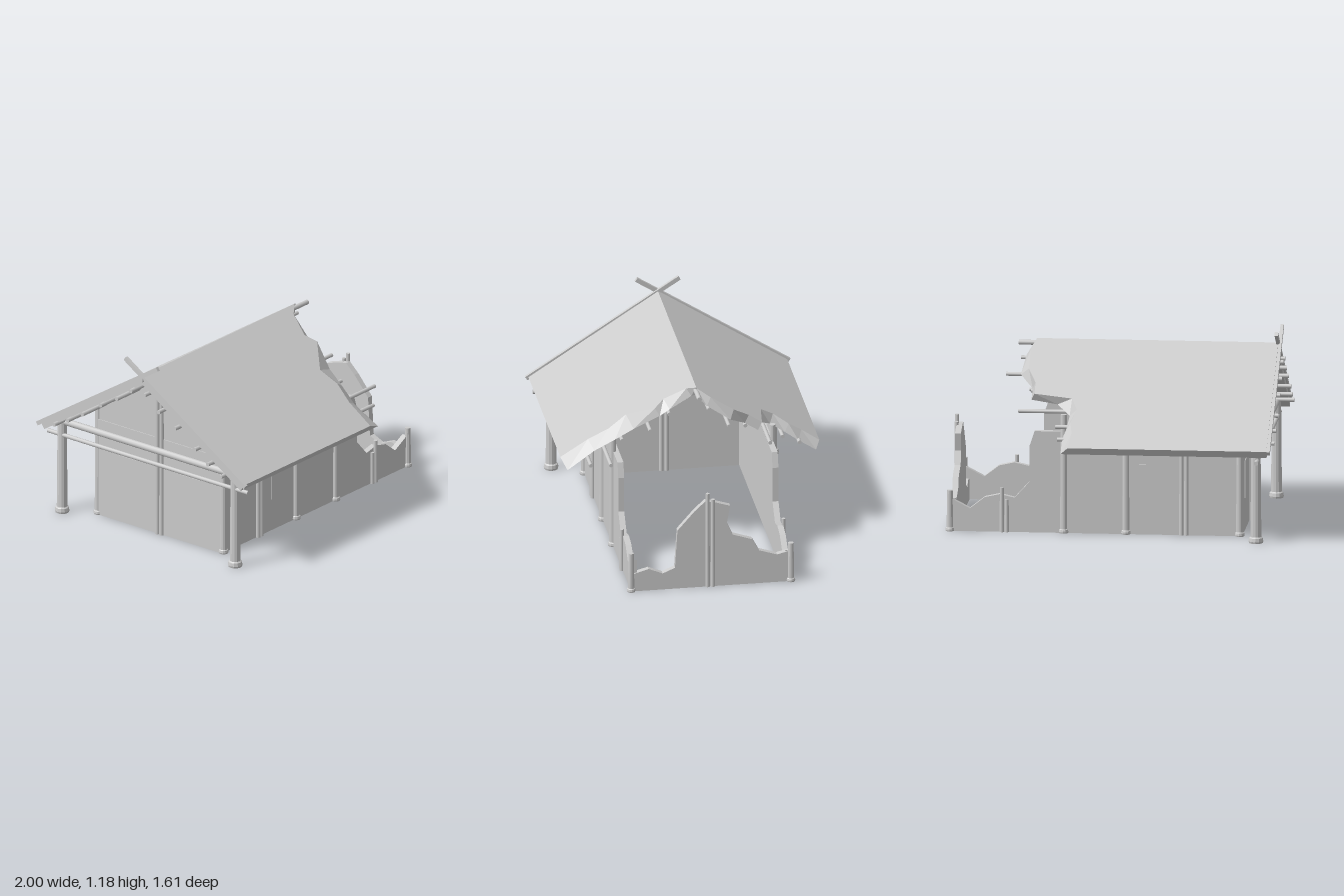
import * as THREE from 'three';

const grey = new THREE.MeshStandardMaterial({ color: 0xcccccc });
grey.name = 'weatheredGrey';

export function createModel() {
  const model = new THREE.Group();
  const add = (name, geometry, parent = model) => {
    const mesh = new THREE.Mesh(geometry, grey);
    mesh.name = name;
    parent.add(mesh);
    return mesh;
  };
  const group = (name) => {
    const g = new THREE.Group();
    g.name = name;
    model.add(g);
    return g;
  };
  const V = (x, y, z) => new THREE.Vector3(x, y, z);

  // Round pole between two points
  const pole = (name, a, b, r0, r1 = r0, parent = model) => {
    const d = b.clone().sub(a);
    const m = add(name, new THREE.CylinderGeometry(r1, r0, d.length(), 10), parent);
    m.position.copy(a).addScaledVector(d, 0.5);
    m.quaternion.setFromUnitVectors(V(0, 1, 0), d.normalize());
    return m;
  };

  // Wall panel with an outline in its own plane
  const panel = (name, points, depth, parent) => {
    const shape = new THREE.Shape(points.map(([u, v]) => new THREE.Vector2(u, v)));
    return add(name, new THREE.ExtrudeGeometry(shape, { depth, bevelEnabled: false }), parent);
  };

  // Long walls with broken right ends
  const walls = group('walls');
  const longWall = [[-0.79, 0], [0.965, 0], [0.965, 0.2], [0.945, 0.19], [0.85, 0.14], [0.76, 0.21],
    [0.67, 0.23], [0.58, 0.21], [0.49, 0.31], [0.49, 0.53], [0.46, 0.62], [-0.79, 0.62]];
  panel('frontWall', longWall, 0.036, walls).position.z = 0.44;
  panel('backWall', longWall, 0.036, walls).position.z = -0.497;

  // Broken end wall; outline given as [-z, y]
  const endWall = panel('brokenEndWall', [[-0.476, 0], [0.497, 0], [0.49, 0.2], [0.41, 0.18], [0.3, 0.215],
    [0.26, 0.29], [0.14, 0.33], [0.105, 0.41], [0.125, 0.52], [0.03, 0.55], [-0.025, 0.56], [-0.09, 0.5],
    [-0.195, 0.38], [-0.21, 0.137], [-0.285, 0.105], [-0.37, 0.14], [-0.476, 0.11]], 0.036, walls);
  endWall.rotation.y = Math.PI / 2;
  endWall.position.x = 0.938;

  // Complete end wall with a gable above
  const whole = panel('wholeEndWall', [[-0.476, 0], [0.497, 0], [0.497, 0.62], [-0.476, 0.62]], 0.036, walls);
  const gable = panel('gable', [[-0.476, 0.62], [0.497, 0.62], [0.497, 0.7], [0, 1.02], [-0.476, 0.71]], 0.02, walls);
  for (const m of [whole, gable]) m.rotation.y = Math.PI / 2;
  whole.position.x = -0.79;
  gable.position.x = -0.785;

  // Window panels
  const windows = group('windows');
  for (const z of [0.477, -0.498]) {
    add('sideWindow', new THREE.BoxGeometry(0.155, 0.23, 0.006), windows).position.set(-0.247, 0.315, z);
  }
  for (const z of [-0.25, 0.23]) {
    add('endWindow', new THREE.BoxGeometry(0.006, 0.23, 0.155), windows).position.set(-0.791, 0.315, z);
  }

  // Posts with round feet
  const posts = group('posts');
  const footedPost = (name, x, z, h, r) => {
    const pts = [[0, 0], [r * 1.25, 0], [r * 1.35, r * 0.35], [r * 1.25, r * 0.95], [r, r * 1.15], [r * 0.85, h], [0, h]];
    const geo = new THREE.LatheGeometry(pts.map(([a, b]) => new THREE.Vector2(a, b)), 12).toNonIndexed();
    geo.computeVertexNormals();
    add(name, geo, posts).position.set(x, 0, z);
  };
  for (const z of [0.476, -0.494]) {
    for (const x of [-0.775, -0.09, 0.285]) footedPost('wallPost', x, z, 0.725, 0.022);
    footedPost('brokenCornerPost', 0.97, z, 0.25, 0.02);
    const out = z + Math.sign(z) * 0.006;
    for (const x of [-0.455, -0.425]) pole('pairedPost', V(x, 0, out), V(x, 0.71, out), 0.014, 0.013, posts);
    pole('brokenPairedPost', V(0.627, 0, out), V(0.627, 0.2, out), 0.013, 0.012, posts);
    pole('brokenPairedPost', V(0.657, 0, out), V(0.657, 0.27, out), 0.014, 0.012, posts);
  }
  [[0.012, 0.61], [-0.02, 0.57]].forEach(([z, h]) => {
    pole('endPairedPost', V(0.973, 0, z), V(0.973, h, z), 0.014, 0.012, posts);
    pole('gablePairedPost', V(-0.795, 0, z), V(-0.795, 1.01, z), 0.014, 0.013, posts);
    pole('innerGablePost', V(-0.752, 0, z), V(-0.752, 1.01, z), 0.014, 0.013, posts);
  });
  for (const z of [0.66, -0.68]) footedPost('porchPost', -0.89, z, 0.6, 0.033);

  // Porch cross beams
  pole('upperCrossBeam', V(-0.89, 0.59, -0.69), V(-0.89, 0.59, 0.69), 0.021);
  pole('lowerCrossBeam', V(-0.9, 0.505, -0.78), V(-0.9, 0.505, 0.77), 0.013);

  // Roof slabs; each row is [distance from ridge, upper torn x, lower torn x]
  const roof = group('roof');
  const slope = 0.645, ridge = 1.087, left = -0.962;
  const roofSlab = (name, side, rows) => {
    const rings = rows.map(([t, xTop, xLow], i) => {
      const y = ridge - slope * t;
      const inset = i === 0 ? 0 : 0.027;
      const tl = i === 0 ? 0 : t - inset;
      const yl = ridge - 0.06 - slope * tl;
      return [V(left, y, side * t), V(xTop, y, side * t), V(xLow, yl, side * tl), V(left, yl, side * tl)];
    });
    const pos = [];
    const quad = (a, b, c, d) => {
      const tris = side > 0 ? [a, c, b, a, d, c] : [a, b, c, a, c, d];
      tris.forEach((p) => pos.push(p.x, p.y, p.z));
    };
    for (let i = 0; i < rings.length - 1; i++) {
      for (let k = 0; k < 4; k++) {
        const n = (k + 1) % 4;
        quad(rings[i][k], rings[i][n], rings[i + 1][n], rings[i + 1][k]);
      }
    }
    const first = rings[0], last = rings[rings.length - 1];
    quad(first[3], first[2], first[1], first[0]);
    quad(last[0], last[1], last[2], last[3]);
    const geo = new THREE.BufferGeometry();
    geo.setAttribute('position', new THREE.Float32BufferAttribute(pos, 3));
    geo.computeVertexNormals();
    add(name, geo, roof);
  };
  roofSlab('frontRoof', 1, [[0, 0.48, 0.45], [0.05, 0.41, 0.43], [0.18, 0.355, 0.42], [0.24, 0.4, 0.42],
    [0.39, 0.245, 0.37], [0.5, 0.275, 0.35], [0.62, 0.24, 0.32], [0.787, 0.235, 0.34]]);
  roofSlab('backRoof', -1, [[0, 0.49, 0.47], [0.08, 0.52, 0.55], [0.22, 0.52, 0.57], [0.32, 0.47, 0.49],
    [0.4, 0.47, 0.49], [0.43, 0.24, 0.33], [0.51, 0.205, 0.25], [0.6, 0.235, 0.26], [0.68, 0.22, 0.28],
    [0.787, 0.235, 0.28]]);

  // Gable poles that cross above the ridge
  for (const s of [1, -1]) {
    const a = V(-0.968 + s * 0.006, 0.57, s * 0.8), b = V(-0.968 + s * 0.006, 1.165, -s * 0.13);
    const d = b.clone().sub(a);
    const m = add('crossedGablePole', new THREE.BoxGeometry(0.02, d.length(), 0.026), roof);
    m.position.copy(a).addScaledVector(d, 0.5);
    m.rotation.x = Math.atan2(d.z, d.y);
  }

  // Ridge pole and purlins, broken at different lengths: [z, y, end x]
  const purlins = group('purlins');
  pole('ridgePole', V(-0.98, 1.06, 0), V(0.6, 1.06, 0), 0.017, 0.015, purlins);
  [[0.045, 0.98, 0.42], [0.155, 0.9, 0.43], [0.28, 0.825, 0.49], [0.435, 0.73, 0.39], [0.535, 0.66, 0.585],
    [0.635, 0.605, 0.45], [-0.06, 0.98, 0.58], [-0.17, 0.9, 0.66], [-0.295, 0.825, 0.5], [-0.435, 0.73, 0.565],
    [-0.55, 0.66, 0.33], [-0.655, 0.605, 0.31]].forEach(([z, y, end]) => {
    pole('purlin', V(-1, y, z), V(end, y, z), 0.013, 0.012, purlins);
  });
  return model;
}
